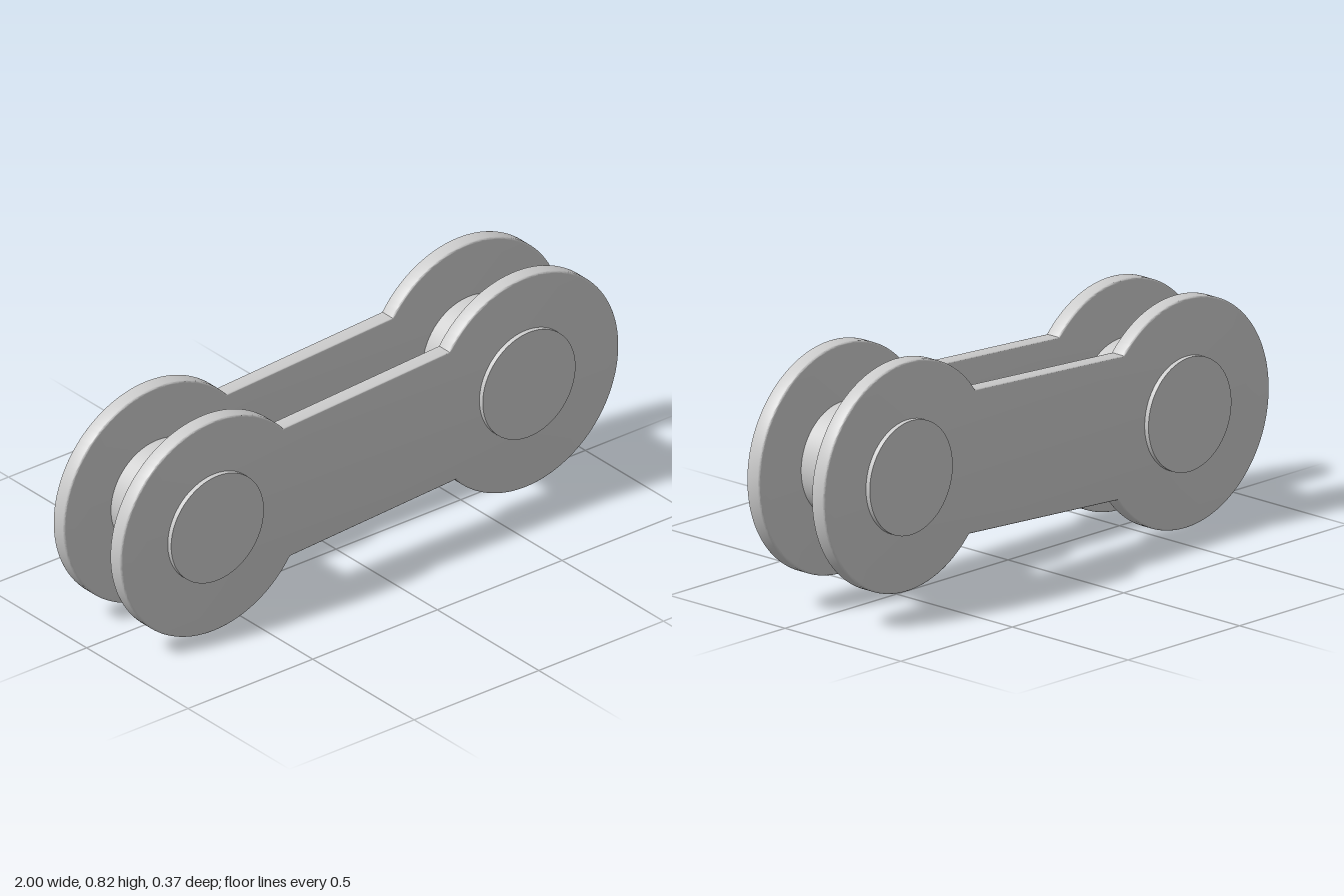
import * as THREE from 'three';
import { toCreasedNormals } from 'three/addons/utils/BufferGeometryUtils.js';

const HALF_PITCH = 0.626, EYE_R = 0.374, BAR_HALF = 0.2325;
const PIN_R = 0.186, PIN_LENGTH = 0.368;
const PLATE_T = 0.055, PLATE_Z = 0.14, BEVEL = 0.006;

// Outline of a link plate: two round eyes joined by a straight bar
function plateGeometry() {
  const a = Math.asin(BAR_HALF / EYE_R);
  const shape = new THREE.Shape();
  shape.absarc(HALF_PITCH, 0, EYE_R, a - Math.PI, Math.PI - a, false);
  shape.absarc(-HALF_PITCH, 0, EYE_R, a, 2 * Math.PI - a, false);
  shape.closePath();
  const geometry = new THREE.ExtrudeGeometry(shape, {
    depth: PLATE_T - 2 * BEVEL,
    curveSegments: 72,
    bevelEnabled: true,
    bevelThickness: BEVEL,
    bevelSize: BEVEL,
    bevelOffset: -BEVEL,
    bevelSegments: 3,
  });
  geometry.translate(0, 0, BEVEL - PLATE_T / 2);
  return toCreasedNormals(geometry, 0.6);
}

export function createModel() {
  const model = new THREE.Group();
  model.name = 'chainLink';
  const material = new THREE.MeshStandardMaterial({ color: 0xcccccc });

  const link = new THREE.Group();
  link.name = 'tiltedLink';
  link.position.y = 0.411;
  link.rotation.z = 0.0576;
  model.add(link);

  const add = (name, geometry, x, z) => {
    const mesh = new THREE.Mesh(geometry, material);
    mesh.name = name;
    mesh.position.set(x, 0, z);
    link.add(mesh);
  };

  // Side plates
  const plate = plateGeometry();
  add('frontPlate', plate, 0, PLATE_Z);
  add('backPlate', plate, 0, -PLATE_Z);

  // Pins running through both plates, slightly proud of their faces
  const pin = new THREE.CylinderGeometry(PIN_R, PIN_R, PIN_LENGTH, 72);
  pin.rotateX(Math.PI / 2);
  add('leftPin', pin, HALF_PITCH, 0);
  add('rightPin', pin, -HALF_PITCH, 0);

  return model;
}
